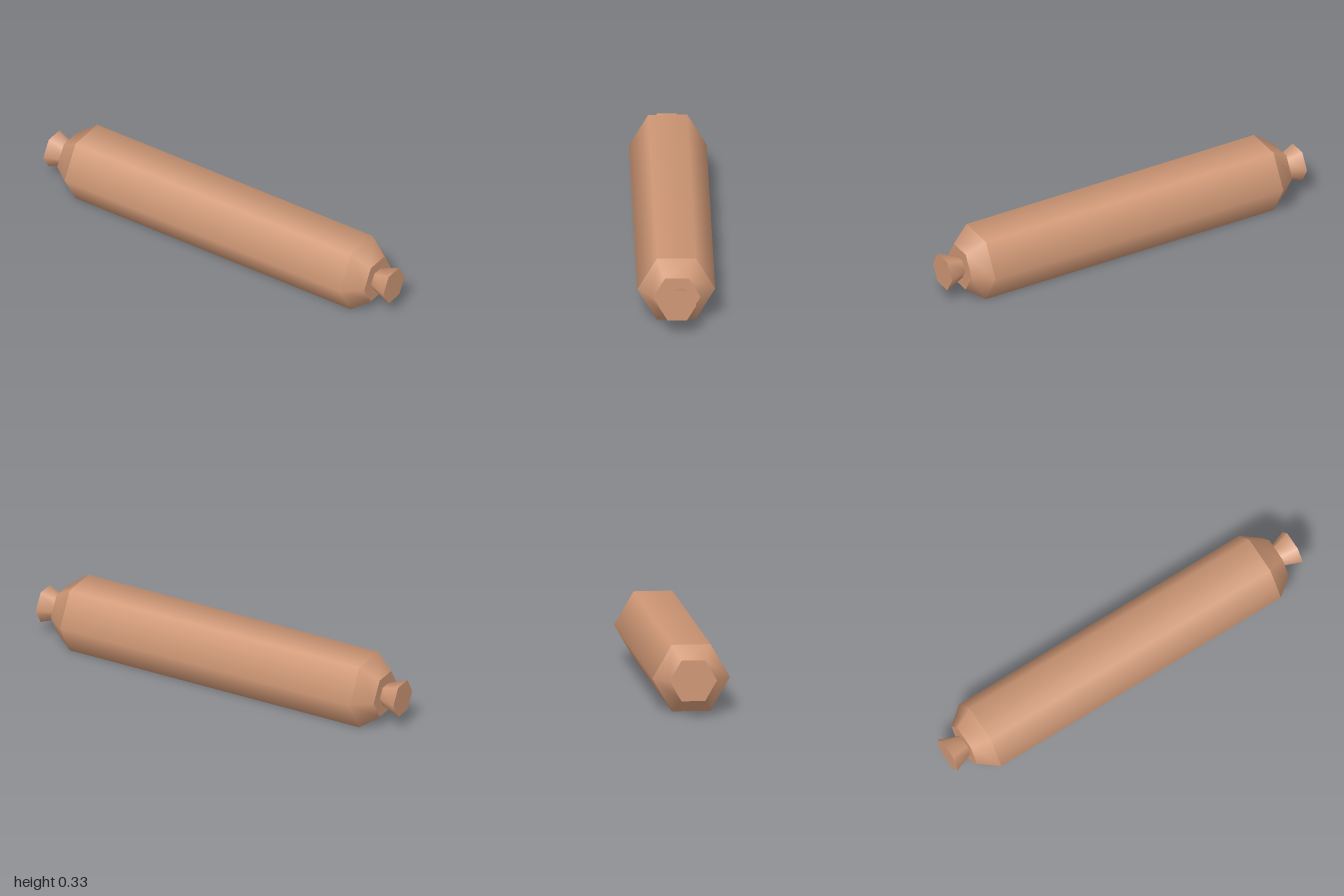
import * as THREE from 'three';

const SIDES = 6;
const AXIS_Y = 0.165;

export function createModel() {
  const copper = new THREE.MeshStandardMaterial({ color: 0xd09876 });
  copper.name = 'copper';
  const group = new THREE.Group();
  group.name = 'hexagonalRod';

  // Hexagonal section along x, from x0 (radius r0) out to x1 (radius r1); side -1 mirrors it
  function section(name, x0, x1, r0, r1, side = 1, open = false) {
    const geometry = new THREE.CylinderGeometry(r1, r0, x1 - x0, SIDES, 1, open);
    geometry.rotateZ(-side * Math.PI / 2);
    const mesh = new THREE.Mesh(geometry, copper);
    mesh.name = name;
    mesh.position.set(side * (x0 + x1) / 2, AXIS_Y, 0);
    group.add(mesh);
  }

  // Long barrel
  section('barrel', -0.81, 0.81, 0.19, 0.19, 1, true);

  // Tapered shoulder and flared knob at each end
  for (const side of [1, -1]) {
    const label = side > 0 ? 'left' : 'right';
    section(label + 'Shoulder', 0.81, 0.903, 0.19, 0.116, side);
    section(label + 'Knob', 0.903, 1, 0.055, 0.093, side);
  }
  return group;
}
